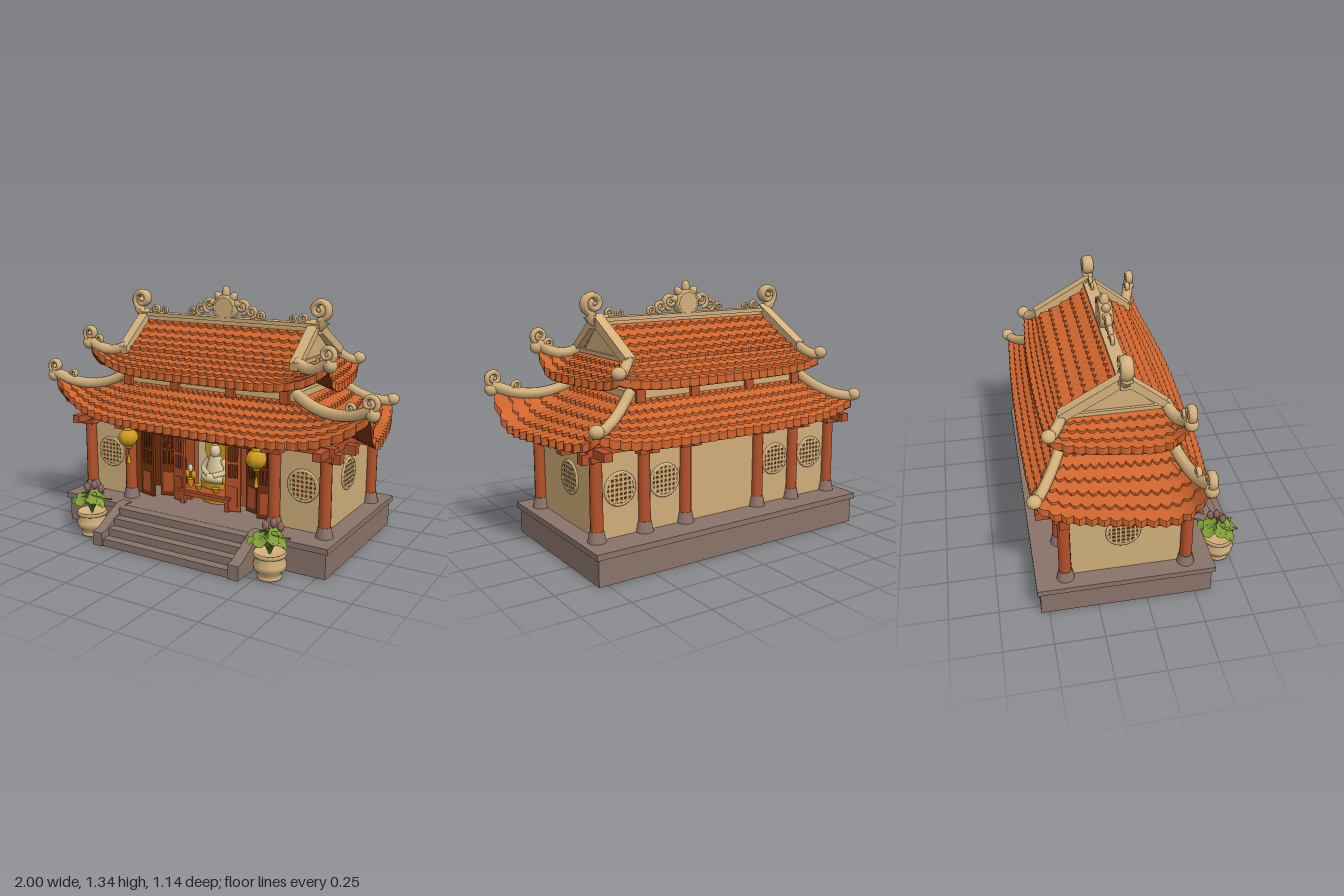
import * as THREE from 'three';
import { toCreasedNormals } from 'three/addons/utils/BufferGeometryUtils.js';

const mat = (name, color, side = THREE.FrontSide) => {
  const m = new THREE.MeshStandardMaterial({ color, side });
  m.name = name;
  return m;
};

export function createModel() {
  const root = new THREE.Group();
  root.name = 'temple';
  const M = {
    tile: mat('roof tile', 0xcf652e, THREE.DoubleSide),
    timber: mat('red timber', 0xb4522a),
    dark: mat('dark timber', 0x74320f, THREE.DoubleSide),
    wall: mat('plaster wall', 0xcfae79),
    trim: mat('carved trim', 0xd2b07c),
    stone: mat('stone', 0x8a746a),
    leaf: mat('leaf', 0x7f9c36, THREE.DoubleSide),
    gold: mat('gold', 0xcc9a1f),
    ivory: mat('ivory', 0xdecb9d),
    lotus: mat('lotus bud', 0x8f645b),
  };
  const add = (name, geo, m, x = 0, y = 0, z = 0, parent = root) => {
    const mesh = new THREE.Mesh(geo, m);
    mesh.name = name;
    mesh.position.set(x, y, z);
    parent.add(mesh);
    return mesh;
  };
  // box given by its limits on each axis
  const box = (name, m, x0, x1, y0, y1, z0, z1, parent = root) =>
    add(name, new THREE.BoxGeometry(Math.abs(x1 - x0), y1 - y0, z1 - z0), m, (x0 + x1) / 2, (y0 + y1) / 2, (z0 + z1) / 2, parent);
  const cyl = (rt, rb, h, n = 12) => new THREE.CylinderGeometry(rt, rb, h, n);
  const ball = (r, sx = 1, sy = 1, sz = 1) => new THREE.SphereGeometry(r, 14, 10).scale(sx, sy, sz);
  const tube = (pts, r, seg = 24, sides = 7) =>
    new THREE.TubeGeometry(new THREE.CatmullRomCurve3(pts.map(p => new THREE.Vector3(...p))), seg, r, sides);
  const sides = [-1, 1];

  // curled finial in the x-y plane, curling towards the middle
  const scroll = (name, x, y, z, r, dir, depth = 1.7) => {
    const pts = [];
    for (let i = 0; i <= 16; i++) {
      const s = i / 16, a = -Math.PI / 2 + s * Math.PI * 2.9, q = r * (1 - 0.78 * s);
      pts.push([dir * q * Math.cos(a), q * Math.sin(a), 0]);
    }
    add(name, tube(pts, r * 0.3, 36, 8).scale(1, 1, depth), M.trim, x, y, z);
    add(name + 'Eye', ball(r * 0.3, 1, 1, depth * 1.2), M.trim, x, y, z);
  };

  // roof slope: concave, with upturned corners and stepped scalloped rows
  const slopePoint = (p, u, t, h = 0) => {
    const L = THREE.MathUtils.lerp, s = 2 * u - 1, [a, b, c, d] = p.pts;
    const v = [0, 1, 2].map(k => L(L(a[k], b[k], u), L(c[k], d[k], u), k === 1 ? t * 1.3 - 0.3 * t * t : t));
    v[1] += (s < 0 ? p.lift[0] : p.lift[1]) * Math.pow(Math.abs(s), 6) * t * t + h;
    const bow = p.bow * (1 - Math.pow(Math.abs(s), 2.5)) * t;
    return [v[0] + p.out[0] * bow, v[1], v[2] + p.out[1] * bow];
  };
  const gridGeo = (lines) => {
    const n = lines[0].length, pos = lines.flat(2), idx = [];
    for (let i = 0; i < lines.length - 1; i++) for (let j = 0; j < n - 1; j++) {
      const a = i * n + j, b = a + n;
      idx.push(a, b, a + 1, b, b + 1, a + 1);
    }
    const g = new THREE.BufferGeometry();
    g.setAttribute('position', new THREE.Float32BufferAttribute(pos, 3));
    g.setIndex(idx);
    return toCreasedNormals(g, 0.6);
  };
  const slope = (name, p) => {
    const [, , c, d] = p.pts, N = Math.round(Math.hypot(d[0] - c[0], d[2] - c[2]) / 0.055), seg = N * 4;
    const line = f => Array.from({ length: seg + 1 }, (_, j) => f(j / seg));
    const edge = (r, u) => r === 0 ? 0 : r / p.rows - (0.28 / p.rows) * (1 - Math.abs(Math.sin(Math.PI * (N * u + r / 2))));
    const lines = [];
    for (let r = 0; r < p.rows; r++) {
      lines.push(line(u => slopePoint(p, u, edge(r, u), 0)));
      lines.push(line(u => slopePoint(p, u, edge(r + 1, u), 0.014)));
    }
    lines.push(line(u => slopePoint(p, u, edge(p.rows, u), -0.025)));
    add(name, gridGeo(lines), M.tile);
    const under = [1, 0.66, 0.33, 0].map(t => line(u => slopePoint(p, u, t * 0.97, -0.028)));
    add(name + 'Underside', gridGeo(under), M.dark);
  };

  // four slopes with ridges along the hips
  const skirt = (name, o) => {
    const { x, zf, zb, y, eave, front, back } = o;
    const T = { fl: [-x, y, zf], fr: [x, y, zf], bl: [-x, y, zb], br: [x, y, zb] };
    const B = { fl: [-front[0], eave, front[1]], fr: [front[0], eave, front[1]], bl: [-back[0], eave, back[1]], br: [back[0], eave, back[1]] };
    const [lf, lb] = o.lift;
    const mk = (a, b, lift, out, bow) => ({ pts: [T[a], T[b], B[a], B[b]], lift, out, bow, rows: o.rows });
    const F = mk('fl', 'fr', [lf, lf], [0, 1], o.bow[0]), K = mk('bl', 'br', [lb, lb], [0, -1], o.bow[1]);
    slope(name + 'Front', F);
    slope(name + 'Back', K);
    slope(name + 'Left', mk('fr', 'br', [lf, lb], [1, 0], 0.02));
    slope(name + 'Right', mk('fl', 'bl', [lf, lb], [-1, 0], 0.02));
    for (const s of sides) {
      const u = s < 0 ? 0 : 1, ts = [0, 0.25, 0.5, 0.75, 1];
      add(name + 'FrontHip', tube(ts.map(t => slopePoint(F, u, t, 0.022)), 0.03), M.trim);
      add(name + 'BackHip', tube(ts.map(t => slopePoint(K, u, t, 0.02)), 0.027), M.trim);
      const tip = slopePoint(F, u, 1), mid = slopePoint(F, u, 0.72), end = slopePoint(K, u, 1);
      scroll(name + 'TipScroll', tip[0] - s * 0.015, tip[1] + 0.055, tip[2], 0.042, s);
      scroll(name + 'SmallScroll', mid[0], mid[1] + 0.06, mid[2], 0.027, s);
      add(name + 'TipBead', ball(0.034), M.trim, ...tip);
      add(name + 'BackFinial', ball(0.036, 1, 0.9, 1), M.trim, end[0], end[1] + 0.03, end[2]);
    }
  };
  skirt('lowerRoof', { x: 0.52, zf: 0.14, zb: -0.37, y: 0.83, eave: 0.625, front: [0.965, 0.24], back: [0.79, -0.535], lift: [0.19, 0.07], bow: [0.12, 0.025], rows: 6 });
  skirt('upperRoof', { x: 0.52, zf: 0.13, zb: -0.36, y: 0.985, eave: 0.885, front: [0.73, 0.2], back: [0.62, -0.44], lift: [0.13, 0.04], bow: [0.065, 0.03], rows: 4 });
  for (const [n, z, s] of [['Front', 0.135, 1], ['Back', -0.365, -1]])
    slope('gableRoof' + n, { pts: [[-0.52, 1.15, -0.07], [0.52, 1.15, -0.07], [-0.52, 0.985, z], [0.52, 0.985, z]], lift: [0, 0], out: [0, s], bow: 0, rows: 5 });

  // clerestory band with timber blocks
  box('clerestory', M.trim, -0.515, 0.515, 0.6, 0.965, -0.365, 0.135);
  box('clerestoryRail', M.trim, -0.54, 0.54, 0.815, 0.855, -0.39, 0.165);
  for (const x of [-0.48, -0.17, 0.17, 0.48]) box('clerestoryBlock', M.timber, x - 0.025, x + 0.025, 0.8, 0.89, -0.405, 0.185);

  // gable ends and descending ridges
  const zyExtrude = (pts, w) => new THREE.ExtrudeGeometry(new THREE.Shape(pts.map(p => new THREE.Vector2(...p))), { depth: w, bevelEnabled: false })
    .rotateY(-Math.PI / 2).translate(w / 2, 0, 0);
  for (const s of sides) {
    add('gable', zyExtrude([[0.13, 0.95], [-0.07, 1.15], [-0.36, 0.95]], 0.03), M.trim, s * 0.505);
    add('gableRidge', zyExtrude([[0.16, 0.965], [0.165, 1.005], [-0.07, 1.195], [-0.385, 1.015], [-0.375, 0.97], [-0.07, 1.14]], 0.055), M.trim, s * 0.525);
    box('gableRail', M.trim, s * 0.515, s * 0.535, 0.985, 1.005, -0.35, 0.13);
    scroll('ridgeEndScroll', s * 0.55, 1.245, -0.07, 0.055, s, 1.9);
    add('ridgeEndFoot', tube([[s * 0.47, 1.16, -0.07], [s * 0.535, 1.155, -0.07], [s * 0.58, 1.2, -0.07]], 0.03), M.trim);
    [[0.46, 1.195, 0.026], [0.4, 1.19, 0.02], [0.21, 1.195, 0.025], [0.155, 1.21, 0.032], [0.1, 1.235, 0.04]].forEach(([x, y, r], i) =>
      scroll('ridgeScroll', s * x, y, -0.07, r, i < 2 ? -s : s, 1.4));
  }
  box('mainRidge', M.trim, -0.555, 0.555, 1.12, 1.16, -0.095, -0.045);
  box('mainRidgeCap', M.trim, -0.56, 0.56, 1.155, 1.175, -0.105, -0.035);
  // ridge medallion with a fan of petals
  add('medallion', cyl(0.055, 0.055, 0.06, 18).rotateX(Math.PI / 2), M.trim, 0, 1.225, -0.07);
  add('medallionRing', new THREE.TorusGeometry(0.06, 0.012, 8, 20).scale(1, 1, 3), M.trim, 0, 1.225, -0.07);
  for (let i = -2; i <= 2; i++) {
    const a = i * 0.62, q = i ? 0.075 : 0.09;
    const petal = add('medallionPetal', ball(0.027, 0.8, i ? 1.2 : 1.5, 0.9), M.trim, Math.sin(a) * q, 1.225 + Math.cos(a) * q * (i ? 0.9 : 0.85), -0.07);
    petal.rotation.z = -a;
  }

  // plinth and steps
  box('plinth', M.stone, -0.795, 0.795, 0, 0.14, -0.54, 0.335);
  box('plinthLip', M.stone, -0.81, 0.81, 0.135, 0.165, -0.555, 0.35);
  [0.164, 0.122, 0.081, 0.04].forEach((h, i) => box('step', M.stone, -0.39, 0.39, 0, h, 0.3, 0.405 + i * 0.05));
  for (const s of sides)
    add('stepCheek', zyExtrude([[0.3, 0], [0.565, 0], [0.565, 0.075], [0.525, 0.08], [0.35, 0.172], [0.3, 0.172]], 0.06), M.stone, s * 0.415);

  // walls, ceiling and interior
  box('backWall', M.wall, -0.71, 0.71, 0.165, 0.6, -0.4, -0.36);
  box('ceiling', M.dark, -0.72, 0.72, 0.59, 0.62, -0.4, 0.2);
  box('innerBack', M.dark, -0.46, 0.46, 0.165, 0.6, -0.04, -0.02);
  box('shrinePanel', M.ivory, -0.145, 0.145, 0.17, 0.55, -0.02, -0.012);
  for (const s of sides) {
    box('sideWall', M.wall, s * 0.67, s * 0.715, 0.165, 0.6, -0.4, 0.19);
    box('frontWall', M.wall, s * 0.46, s * 0.71, 0.165, 0.6, 0.15, 0.19);
    box('innerSide', M.dark, s * 0.45, s * 0.46, 0.165, 0.6, -0.04, 0.19);
    box('shrinePost', M.timber, s * 0.145, s * 0.2, 0.165, 0.56, -0.02, 0.03);
  }

  // columns, brackets and beams
  const column = (x, z) => {
    add('column', cyl(0.03, 0.032, 0.43), M.timber, x, 0.385, z);
    add('columnBase', cyl(0.034, 0.046, 0.055), M.stone, x, 0.192, z);
    box('columnCap', M.timber, x - 0.045, x + 0.045, 0.56, 0.585, z - 0.045, z + 0.045);
    const d = Math.sign(z);
    box('eaveBracket', M.timber, x - 0.022, x + 0.022, 0.58, 0.615, Math.min(z, z + d * 0.11), Math.max(z, z + d * 0.11));
  };
  for (const s of sides) {
    for (const x of [0.73, 0.45]) column(s * x, 0.21);
    for (const x of [0.73, 0.47, 0.23]) column(s * x, -0.405);
    box('sideBeam', M.timber, s * 0.71, s * 0.755, 0.58, 0.622, -0.535, 0.335);
    for (const z of [0.21, 0.02, -0.19, -0.405]) box('sideBracket', M.timber, s * 0.7, s * 0.81, 0.55, 0.6, z - 0.025, z + 0.025);
  }
  for (const z of [0.21, -0.405]) box('longBeam', M.timber, -0.78, 0.78, 0.585, 0.625, z - 0.025, z + 0.025);
  // pierced frieze over the entrance
  box('friezeRail', M.dark, -0.43, 0.43, 0.55, 0.56, 0.195, 0.215);
  for (let i = -14; i <= 14; i++) box('friezeBar', M.dark, i * 0.03 - 0.005, i * 0.03 + 0.005, 0.555, 0.59, 0.2, 0.21);

  // door leaves: a frame, a lattice and a lower panel
  const door = (name, m, x, z, w, turn) => {
    const g = new THREE.Group();
    g.name = name;
    g.position.set(x, 0.17, z);
    g.rotation.y = turn;
    root.add(g);
    box('doorPanel', m, -w / 2, w / 2, 0, 0.17, -0.008, 0.008, g);
    box('doorInset', M.timber, -w * 0.3, w * 0.3, 0.025, 0.14, 0.008, 0.013, g);
    box('doorBack', M.dark, -w / 2, w / 2, 0.17, 0.37, -0.006, 0, g);
    for (const y of [0.17, 0.26, 0.355]) box('doorRail', m, -w / 2, w / 2, y, y + 0.015, -0.008, 0.008, g);
    for (let i = 0; i < 5; i++) {
      const t = i % 4 ? 0.003 : 0.008, bx = (i / 4 - 0.5) * (w - 0.016);
      box('doorBar', m, bx - t, bx + t, 0.17, 0.37, -0.008, 0.008, g);
    }
  };
  for (const s of sides) {
    door('openDoor', M.timber, s * 0.17, 0.14, 0.085, s * 0.25);
    door('foldedDoor', M.dark, s * 0.27, 0.1, 0.095, -s * 0.3);
    door('outerDoor', M.dark, s * 0.375, 0.15, 0.1, s * 0.2);
  }

  // round lattice windows
  const lattice = (x, y, z, turn, r = 0.078) => {
    const g = new THREE.Group();
    g.name = 'latticeWindow';
    g.position.set(x, y, z);
    g.rotation.y = turn;
    root.add(g);
    add('windowRing', new THREE.TorusGeometry(r, 0.009, 8, 32), M.trim, 0, 0, 0, g);
    add('windowVoid', cyl(r, r, 0.006, 32).rotateX(Math.PI / 2), M.dark, 0, 0, 0.001, g);
    for (const k of [-0.75, -0.45, -0.15, 0.15, 0.45, 0.75]) {
      const h = r * Math.sqrt(1 - k * k), c = k * r;
      box('windowBar', M.trim, c - 0.005, c + 0.005, -h, h, 0.003, 0.009, g);
      box('windowBar', M.trim, -h, h, c - 0.005, c + 0.005, 0.003, 0.009, g);
    }
  };
  for (const s of sides) {
    lattice(s * 0.6, 0.4, 0.191, 0);
    lattice(s * 0.716, 0.405, -0.11, s * Math.PI / 2, 0.08);
    for (const x of [0.6, 0.35]) lattice(s * x, 0.4, -0.401, Math.PI);
  }

  // altar with a seated statue, halo and offerings
  box('altarTop', M.timber, -0.165, 0.165, 0.235, 0.25, 0.06, 0.17);
  box('altarApron', M.timber, -0.14, 0.14, 0.212, 0.235, 0.075, 0.16);
  for (const x of [-0.14, 0.14]) for (const z of [0.08, 0.15]) box('altarLeg', M.timber, x - 0.012, x + 0.012, 0.165, 0.235, z - 0.012, z + 0.012);
  add('halo', cyl(0.095, 0.095, 0.009, 32).rotateX(Math.PI / 2), M.gold, 0, 0.45, -0.006);
  add('statueSeat', cyl(0.09, 0.075, 0.12, 16), M.gold, 0, 0.225, 0.045).scale.z = 0.6;
  add('statueLegs', ball(0.085, 1, 0.4, 0.6), M.ivory, 0, 0.305, 0.05);
  add('statueBody', cyl(0.035, 0.07, 0.13, 16), M.ivory, 0, 0.365, 0.04).scale.z = 0.65;
  add('statueHead', ball(0.033, 0.9, 1.15, 0.9), M.ivory, 0, 0.455, 0.045);
  add('statueTopknot', ball(0.015), M.ivory, 0, 0.495, 0.045);
  for (const s of sides) {
    add('statueArm', tube([[s * 0.045, 0.41, 0.04], [s * 0.072, 0.35, 0.05], [s * 0.015, 0.325, 0.09]], 0.015, 12), M.ivory);
    add('offeringVase', cyl(0.02, 0.012, 0.045), M.gold, s * 0.12, 0.272, 0.11);
    for (const k of [-1, 0, 1]) add('offeringFlower', ball(0.018, 0.8, 1.3, 0.8), k ? M.gold : M.ivory, s * 0.12 + k * 0.022, 0.32 + (k ? 0 : 0.035), 0.11);
    add('offeringBowl', cyl(0.022, 0.012, 0.025), M.gold, s * 0.055, 0.262, 0.13);
  }

  // hanging lanterns
  for (const s of sides) {
    const x = s * 0.395, z = 0.3;
    const body = new THREE.SphereGeometry(0.053, 32, 12), p = body.attributes.position;
    for (let i = 0; i < p.count; i++) {
      const k = 1 + 0.05 * Math.cos(8 * Math.atan2(p.getZ(i), p.getX(i)));
      p.setXYZ(i, p.getX(i) * k, p.getY(i) * 0.92, p.getZ(i) * k);
    }
    body.computeVertexNormals();
    add('lantern', body, M.gold, x, 0.535, z);
    add('lanternCap', cyl(0.022, 0.026, 0.014), M.gold, x, 0.587, z);
    add('lanternCord', cyl(0.004, 0.004, 0.05, 6), M.dark, x, 0.615, z);
    add('lanternFoot', cyl(0.024, 0.018, 0.014), M.gold, x, 0.483, z);
    add('lanternString', cyl(0.004, 0.004, 0.04, 6), M.gold, x, 0.46, z);
    add('lanternTassel', cyl(0.005, 0.013, 0.05, 8), M.gold, x, 0.415, z);
  }

  // potted lotus plants
  const potProfile = [[0, 0], [0.06, 0], [0.062, 0.012], [0.052, 0.022], [0.08, 0.05], [0.083, 0.075], [0.068, 0.108], [0.08, 0.115], [0.084, 0.13], [0.074, 0.135], [0.066, 0.12], [0, 0.12]];
  for (const s of sides) {
    const g = new THREE.Group();
    g.name = 'lotusPot';
    g.position.set(s * 0.55, 0, 0.44);
    root.add(g);
    add('pot', new THREE.LatheGeometry(potProfile.map(p => new THREE.Vector2(...p)), 24), M.trim, 0, 0, 0, g);
    for (let i = 0; i < 11; i++) {
      const a = i * 2.4, q = 0.035 + 0.004 * i, y = 0.225 - 0.004 * i;
      const leaf = new THREE.CircleGeometry(0.042, 8).scale(1.1, 0.85, 1).rotateX(-Math.PI / 2), p = leaf.attributes.position;
      for (let k = 1; k < p.count; k++) p.setY(k, 0.012 * Math.cos(k * 1.6) + 0.006);
      leaf.computeVertexNormals();
      const m = add('leaf', leaf, M.leaf, Math.cos(a) * q, y, Math.sin(a) * q, g);
      m.rotation.set(0, -a, -0.45, 'YXZ');
      add('leafStem', tube([[0, 0.12, 0], [Math.cos(a) * q * 0.4, 0.17, Math.sin(a) * q * 0.4], [Math.cos(a) * q, y, Math.sin(a) * q]], 0.004, 6, 5), M.leaf, 0, 0, 0, g);
    }
    for (const [x, y, z] of [[-0.02, 0.265, 0.01], [0.035, 0.25, -0.04], [0.01, 0.275, -0.015]]) {
      add('budStem', tube([[0, 0.12, 0], [x * 0.6, 0.19, z * 0.6], [x, y, z]], 0.004, 6, 5), M.leaf, 0, 0, 0, g);
      add('bud', ball(0.02, 0.9, 1.2, 0.9), M.lotus, x, y, z, g);
      add('budTip', new THREE.ConeGeometry(0.014, 0.025, 8), M.lotus, x, y + 0.024, z, g);
    }
  }
  return root;
}
